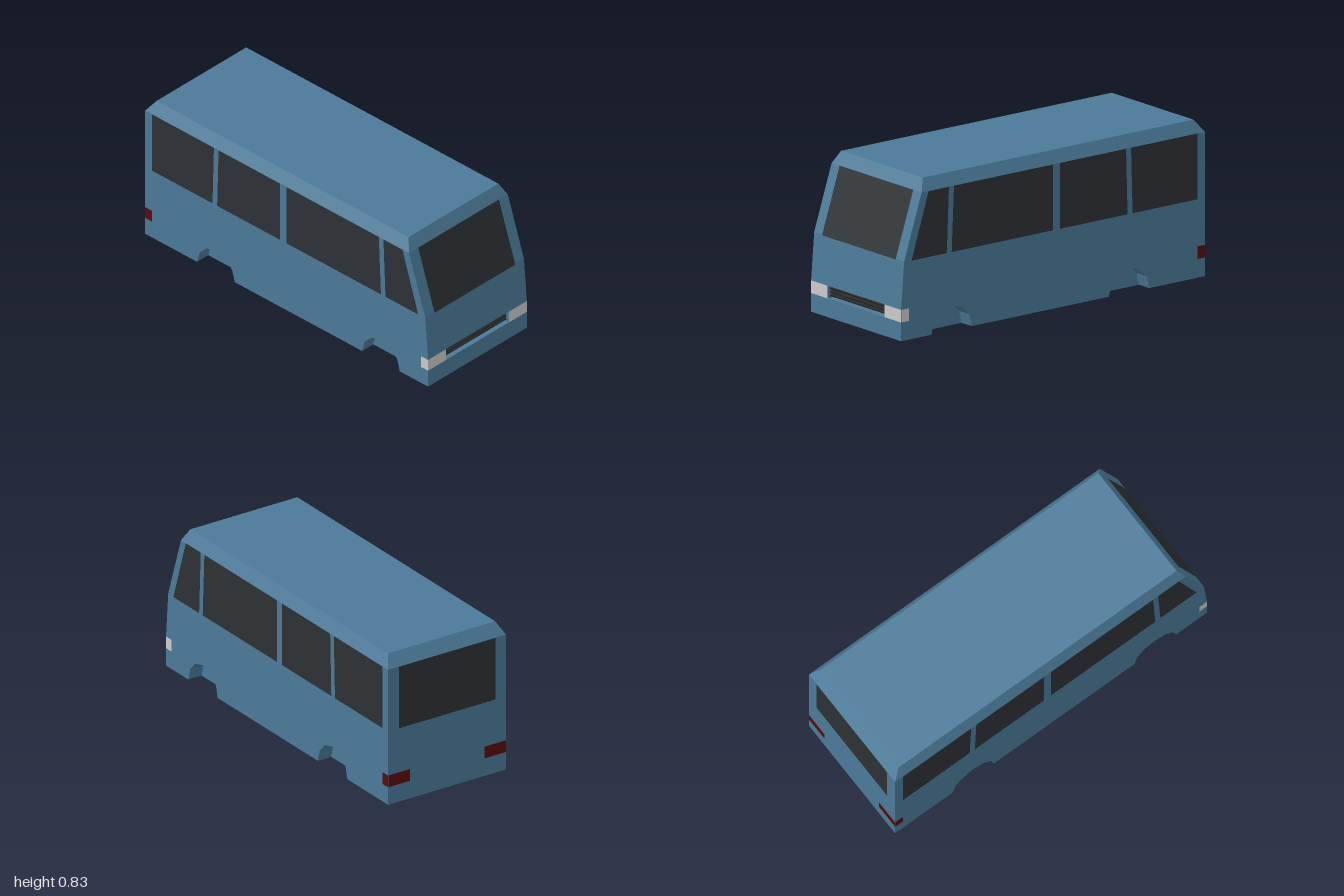
import * as THREE from 'three';
import { mergeGeometries } from 'three/addons/utils/BufferGeometryUtils.js';

const V = (x, y, z) => new THREE.Vector3(x, y, z);
const material = (color) => new THREE.MeshStandardMaterial({ color, flatShading: true });

// Main dimensions
const W = 0.367, ROOF_W = 0.333, SHOULDER = 0.767, TOP = 0.833, SILL = 0.417;
const LAMP_IN = 0.233, LAMP_LOW = 0.1, LAMP_TOP = 0.167, LAMP_WRAP = 0.05;
const ARCH_R = 0.133, ARCH_DEPTH = 0.083, ARCHES = [-0.5, 0.667];
const EPS = 0.0012;

// Flat polygon turned to face the given direction, optionally lifted off its plane
function face(points, facing, lift = 0) {
  const n = V(0, 0, 0);
  points.forEach((p, i) => n.add(p.clone().cross(points[(i + 1) % points.length])));
  n.normalize();
  if (n.dot(facing) < 0) {
    n.negate();
    points = [...points].reverse();
  }
  const u = points[1].clone().sub(points[0]).normalize();
  const v = n.clone().cross(u);
  const flat = points.map((p) => new THREE.Vector2(p.dot(u), p.dot(v)));
  const corners = points.map((p) => p.clone().addScaledVector(n, lift));
  const geometry = new THREE.BufferGeometry().setFromPoints(corners);
  geometry.setIndex(THREE.ShapeUtils.triangulateShape(flat, []).flat());
  const result = geometry.toNonIndexed();
  result.computeVertexNormals();
  return result;
}

// Half-circle of a wheel arch as [z, y], front to back
const arch = (zc) => Array.from({ length: 7 }, (_, i) => {
  const a = (i * Math.PI) / 6;
  return [zc + ARCH_R * Math.cos(a), ARCH_R * Math.sin(a)];
});

export function createModel() {
  const group = new THREE.Group();
  const add = (name, faces, mat) => {
    const mesh = new THREE.Mesh(mergeGeometries(faces), mat);
    mesh.name = name;
    group.add(mesh);
  };
  const blue = material(0x4b7a99), glass = material(0x2d3135), black = material(0x272727);
  const white = material(0xcccccc), red = material(0x5a0a0a);
  const UP = V(0, 1, 0), DOWN = V(0, -1, 0), FRONT = V(0, 0, 1), BACK = V(0, 0, -1);

  // Nose and tail outlines as [z, y]
  const nose = [[1, LAMP_TOP], [0.98, 0.42], [0.865, SHOULDER]];
  const roofFront = 0.83, roofBack = -0.952;

  // Cross strip of full or given width between two [z, y] points
  const strip = (a, b, facing, wa = W, wb = wa, lift = 0) => face([
    V(-wa, a[1], a[0]), V(wa, a[1], a[0]), V(wb, b[1], b[0]), V(-wb, b[1], b[0]),
  ], facing, lift);

  const shell = [
    strip([1, 0], [1, LAMP_LOW], FRONT),
    strip(nose[0], nose[1], FRONT),
    strip(nose[1], nose[2], FRONT),
    strip(nose[2], [roofFront, TOP], FRONT, W, ROOF_W),
    strip([roofFront, TOP], [roofBack, TOP], UP, ROOF_W),
    strip([roofBack, TOP], [-1, SHOULDER], BACK, ROOF_W, W),
    strip([-1, SHOULDER], [-1, 0], BACK),
  ];

  // Floor with a notch at every wheel arch
  const edge = [[W, -1]];
  for (const zc of ARCHES) {
    const inner = W - ARCH_DEPTH;
    edge.push([W, zc - ARCH_R], [inner, zc - ARCH_R], [inner, zc + ARCH_R], [W, zc + ARCH_R]);
  }
  edge.push([W, 1]);
  const mirrored = edge.map(([x, z]) => [-x, z]).reverse();
  shell.push(face([...edge, ...mirrored].map(([x, z]) => V(x, 0, z)), DOWN));

  const wells = [];
  for (const s of [-1, 1]) {
    const out = V(s, 0, 0);
    // Side wall and sloping roof edge
    const wall = [[-1, 0], [-1, SHOULDER], ...[...nose].reverse(), [1, 0],
      ...arch(ARCHES[1]), ...arch(ARCHES[0])];
    shell.push(face(wall.map(([z, y]) => V(s * W, y, z)), out));
    shell.push(face([V(s * W, SHOULDER, -1), V(s * W, SHOULDER, nose[2][0]),
      V(s * ROOF_W, TOP, roofFront), V(s * ROOF_W, TOP, roofBack)], out));
    // Front wall behind each headlight
    shell.push(face([V(s * LAMP_IN, LAMP_LOW, 1), V(s * W, LAMP_LOW, 1),
      V(s * W, LAMP_TOP, 1), V(s * LAMP_IN, LAMP_TOP, 1)], FRONT));
    // Wheel wells
    for (const zc of ARCHES) {
      const p = arch(zc), xi = s * (W - ARCH_DEPTH);
      wells.push(face(p.map(([z, y]) => V(xi, y, z)), out));
      for (let i = 0; i < 6; i++) {
        const [a, b] = [p[i], p[i + 1]];
        wells.push(face([V(s * W, a[1], a[0]), V(s * W, b[1], b[0]),
          V(xi, b[1], b[0]), V(xi, a[1], a[0])], V(0, -(a[1] + b[1]) / 2, zc - (a[0] + b[0]) / 2)));
      }
    }
  }

  // Grille recess: floor, ceiling and cheeks, with a dark back and slats
  const deep = 0.96;
  shell.push(strip([1, LAMP_LOW], [deep, LAMP_LOW], UP, LAMP_IN));
  shell.push(strip([1, LAMP_TOP], [deep, LAMP_TOP], DOWN, LAMP_IN));
  for (const s of [-1, 1]) {
    shell.push(face([V(s * LAMP_IN, LAMP_LOW, 1), V(s * LAMP_IN, LAMP_TOP, 1),
      V(s * LAMP_IN, LAMP_TOP, deep), V(s * LAMP_IN, LAMP_LOW, deep)], V(-s, 0, 0)));
  }
  add('body', shell, blue);
  add('wheelWells', wells, blue);

  add('grilleBack', [strip([deep, LAMP_LOW], [deep, LAMP_TOP], FRONT, LAMP_IN)], black);
  for (let i = 0; i < 3; i++) {
    const slat = new THREE.Mesh(new THREE.BoxGeometry(LAMP_IN * 2, 0.008, 0.022), black);
    slat.name = 'grilleSlat';
    slat.position.set(0, 0.117 + i * 0.0185, 0.973);
    slat.rotation.x = 0.4;
    group.add(slat);
  }

  // Windscreen and rear window
  const slope = (y) => nose[1][0] + ((y - nose[1][1]) / (SHOULDER - nose[1][1])) * (nose[2][0] - nose[1][0]);
  add('windscreen', [strip([slope(SILL), SILL], [slope(SHOULDER), SHOULDER], FRONT, 0.3, 0.3, EPS)], glass);
  add('rearWindow', [strip([-1, SILL], [-1, SHOULDER], BACK, 0.3, 0.3, EPS)], glass);

  // Side windows: z at bottom front, top front, top back, bottom back
  const panes = [
    [0.932, 0.82, 0.686, 0.7],
    [0.668, 0.653, 0, 0],
    [-0.045, -0.045, -0.48, -0.49],
    [-0.513, -0.523, -0.952, -0.952],
  ];
  panes[3] = [-0.523, -0.513, -0.952, -0.952];
  for (const s of [-1, 1]) {
    const side = s > 0 ? 'left' : 'right', out = V(s, 0, 0);
    panes.forEach(([a, b, c, d], i) => add(`${side}SideWindow${i + 1}`, [face([
      V(s * W, SILL, a), V(s * W, SHOULDER, b), V(s * W, SHOULDER, c), V(s * W, SILL, d),
    ], out, EPS)], glass));

    // Corner lamps wrapping from the end onto the side
    for (const [name, e, mat] of [['Headlight', 1, white], ['TailLight', -1, red]]) {
      const end = [[LAMP_IN, LAMP_LOW], [W, LAMP_LOW], [W, LAMP_TOP], [LAMP_IN, LAMP_TOP]];
      const wrap = [[1, LAMP_LOW], [1 - LAMP_WRAP, LAMP_LOW], [1 - LAMP_WRAP, LAMP_TOP], [1, LAMP_TOP]];
      add(side + name, [
        face(end.map(([x, y]) => V(s * x, y, e)), V(0, 0, e), EPS),
        face(wrap.map(([z, y]) => V(s * W, y, e * z)), out, EPS),
      ], mat);
    }
  }
  return group;
}
